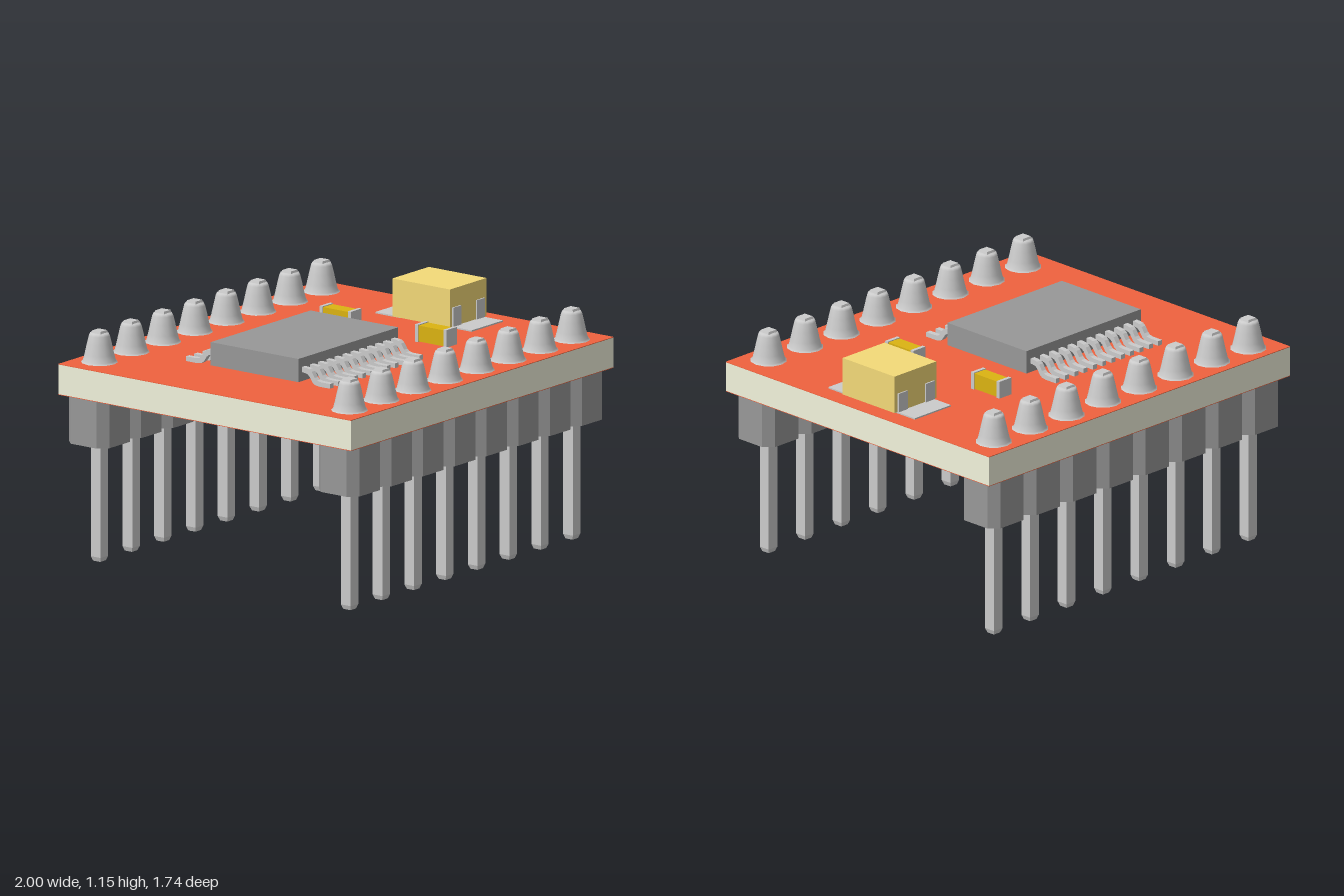
import * as THREE from 'three';

const mat = (color, extra = {}) => new THREE.MeshStandardMaterial({ color, ...extra });

export function createModel() {
  const model = new THREE.Group();
  const metal = mat(0xcccccc);
  const metalFlat = mat(0xcccccc, { flatShading: true });
  const dark = mat(0x989898);
  const red = mat(0xf0623e);
  const cream = mat(0xf2f3dc);
  const yellow = mat(0xf4da78);
  const gold = mat(0xdcb412);

  const add = (name, geometry, material, x = 0, y = 0, z = 0, parent = model) => {
    const mesh = new THREE.Mesh(geometry, material);
    mesh.name = name;
    mesh.position.set(x, y, z);
    parent.add(mesh);
    return mesh;
  };
  // Box given by its minimum and maximum corners
  const box = (name, material, [x0, y0, z0], [x1, y1, z1], parent = model) =>
    add(name, new THREE.BoxGeometry(x1 - x0, y1 - y0, z1 - z0), material,
      (x0 + x1) / 2, (y0 + y1) / 2, (z0 + z1) / 2, parent);

  // Circuit board with a red coating on both faces
  const top = 0.96;
  box('boardCore', cream, [-1, 0.814, -0.868], [1, 0.957, 0.868]);
  box('boardTopCoating', red, [-1, 0.957, -0.868], [1, top, 0.868]);
  box('boardBottomCoating', red, [-1, 0.811, -0.868], [1, 0.814, 0.868]);

  // Header strip: a chain of octagonal blocks
  const count = 8, pitch = 0.2415, half = pitch / 2, chamfer = 0.043, depth = 0.12;
  const pinX = (i) => (i - (count - 1) / 2) * pitch - 0.003;
  const outline = [];
  for (const side of [1, -1]) {
    for (let i = 0; i < count; i++) {
      const c = side * (i - (count - 1) / 2) * pitch;
      outline.push(
        new THREE.Vector2(c - side * half, -side * (depth - chamfer)),
        new THREE.Vector2(c - side * (half - chamfer), -side * depth),
        new THREE.Vector2(c + side * (half - chamfer), -side * depth));
    }
    outline.push(new THREE.Vector2(side * count * half, -side * (depth - chamfer)));
  }
  const stripGeo = new THREE.ExtrudeGeometry(new THREE.Shape(outline), { depth: 0.235, bevelEnabled: false });
  stripGeo.rotateX(-Math.PI / 2);

  // Square pin with tapered ends, and the solder cone around its top
  const lathe = (points, sides) =>
    new THREE.LatheGeometry(points.map(([r, y]) => new THREE.Vector2(r, y)), sides);
  const s = Math.SQRT2;
  const pinGeo = lathe([[0, 0], [0.021 * s, 0], [0.029 * s, 0.022], [0.029 * s, 1.1],
    [0.025 * s, 1.112], [0, 1.112]], 4).rotateY(Math.PI / 4);
  const solderGeo = lathe([[0.087, top], [0.078, 0.968], [0.07, 1.0], [0.059, 1.05],
    [0.05, 1.088], [0.044, 1.1], [0.02, 1.103]], 12);

  for (const side of [1, -1]) {
    const row = new THREE.Group();
    row.name = side > 0 ? 'frontPinRow' : 'backPinRow';
    row.position.z = side * 0.742;
    model.add(row);
    add('headerStrip', stripGeo, dark, -0.003, 0.576, 0, row);
    for (let i = 0; i < count; i++) {
      add('pin', pinGeo, metalFlat, pinX(i), 0, 0, row);
      add('solderCone', solderGeo, metal, pinX(i), 0, 0, row);
    }
  }

  // Chip body
  box('chipBody', dark, [-0.62, 0.972, -0.26], [0.14, 1.084, 0.26]);

  // Bent chip leads: S-shaped ribbon extruded across its width
  const lead = new THREE.Shape();
  lead.moveTo(0.25, 1.04);
  lead.lineTo(0.28, 1.04);
  lead.bezierCurveTo(0.34, 1.04, 0.315, 0.984, 0.37, 0.984);
  lead.lineTo(0.427, 0.984);
  lead.lineTo(0.427, 0.961);
  lead.lineTo(0.36, 0.961);
  lead.bezierCurveTo(0.3, 0.961, 0.325, 1.015, 0.27, 1.015);
  lead.lineTo(0.25, 1.015);
  const leadGeo = new THREE.ExtrudeGeometry(lead, { depth: 0.026, bevelEnabled: false, curveSegments: 6 });
  leadGeo.translate(0, 0, -0.013);
  for (const side of [1, -1]) {
    for (let i = 0; i < 12; i++) {
      add('chipLead', leadGeo, metal, -0.58 + i * 0.0618).rotation.y = -side * Math.PI / 2;
    }
  }

  // Two small capacitors with metal end caps
  for (const side of [1, -1]) {
    const cap = new THREE.Group();
    cap.name = 'smallCapacitor';
    cap.position.set(0.397, top, side * 0.283);
    model.add(cap);
    box('capacitorBody', gold, [-0.036, 0.003, -0.077], [0.036, 0.08, 0.077], cap);
    for (const e of [1, -1]) {
      add('capacitorEnd', new THREE.BoxGeometry(0.08, 0.084, 0.018), metal, 0, 0.042, e * 0.084, cap);
    }
  }

  // Large capacitor with flat pads and two upright tabs at each end
  box('largeCapacitorBody', yellow, [0.648, 0.967, -0.171], [0.926, 1.15, 0.171]);
  for (const side of [1, -1]) {
    add('largeCapacitorPad', new THREE.BoxGeometry(0.24, 0.007, 0.15), metal, 0.786, top + 0.0035, side * 0.21);
    for (const x of [0.695, 0.875]) {
      add('largeCapacitorTab', new THREE.BoxGeometry(0.06, 0.095, 0.008), metal, x, 1.012, side * 0.174);
    }
  }

  return model;
}
